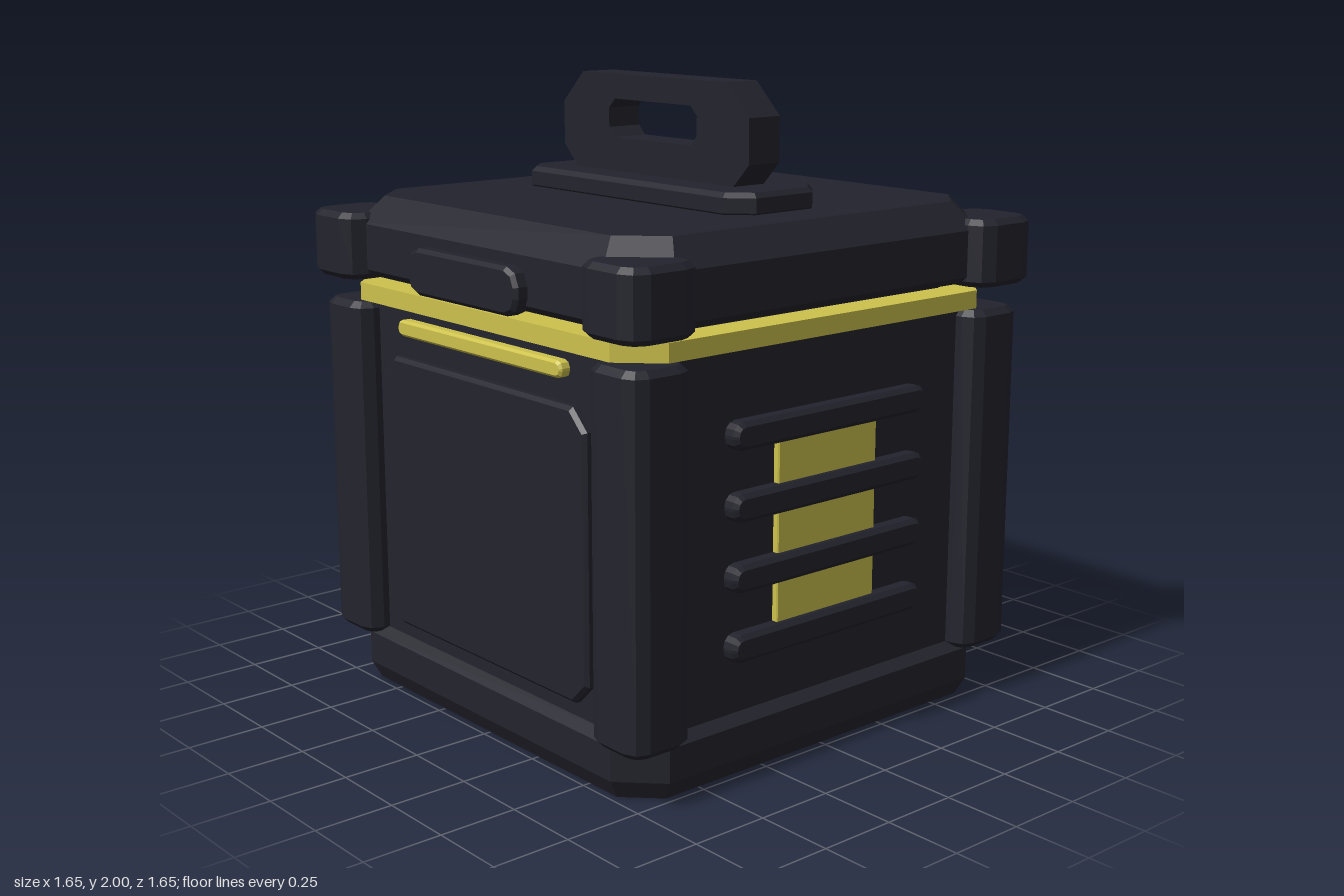
import * as THREE from 'three';

const dark = new THREE.MeshStandardMaterial({ color: 0x23232d });
dark.name = 'charcoal';
const yellow = new THREE.MeshStandardMaterial({ color: 0xcdc14c });
yellow.name = 'glow yellow';

// Outline of a rectangle with cut (steps = 1) or rounded corners
function outline(w, h, r, steps) {
  const pts = [];
  for (let k = 0; k < 4; k++) {
    const cx = (k === 0 || k === 3 ? 1 : -1) * (w / 2 - r);
    const cy = (k < 2 ? 1 : -1) * (h / 2 - r);
    for (let i = 0; i <= steps; i++) {
      const a = (k + i / steps) * Math.PI / 2;
      pts.push(new THREE.Vector2(cx + r * Math.cos(a), cy + r * Math.sin(a)));
    }
  }
  return pts;
}

// Bevelled plate standing in xy, from z = 0 to z = depth
function plate(w, h, depth, r, steps, bevel) {
  const g = new THREE.ExtrudeGeometry(new THREE.Shape(outline(w, h, r, steps)), {
    depth: depth - 2 * bevel, bevelEnabled: true, bevelSegments: 1,
    bevelSize: bevel, bevelThickness: bevel, bevelOffset: -bevel,
  });
  return g.translate(0, 0, bevel);
}

// The same plate lying flat, rising from y = 0
const slab = (...args) => plate(...args).rotateX(-Math.PI / 2);

// Square block with cut corners, through rings of [y, half width, corner cut]
function block(rings) {
  const pos = [];
  const loops = rings.map(([y, half, cut]) =>
    outline(2 * half, 2 * half, cut, 1).map((p) => [p.x, y, -p.y]));
  const n = 8;
  for (let j = 0; j < loops.length - 1; j++) {
    for (let i = 0; i < n; i++) {
      const k = (i + 1) % n;
      const [a, b, c, d] = [loops[j][i], loops[j][k], loops[j + 1][k], loops[j + 1][i]];
      pos.push(...a, ...b, ...c, ...a, ...c, ...d);
    }
  }
  const low = loops[0], top = loops[loops.length - 1];
  for (let i = 1; i < n - 1; i++) {
    pos.push(...low[0], ...low[i + 1], ...low[i], ...top[0], ...top[i], ...top[i + 1]);
  }
  const g = new THREE.BufferGeometry();
  g.setAttribute('position', new THREE.Float32BufferAttribute(pos, 3));
  g.computeVertexNormals();
  return g;
}

export function createModel() {
  const model = new THREE.Group();
  model.name = 'storageCrate';
  const add = (name, geometry, material, x = 0, y = 0, z = 0, turn = 0, parent = model) => {
    const mesh = new THREE.Mesh(geometry, material);
    mesh.name = name;
    mesh.position.set(x, y, z);
    mesh.rotation.y = turn;
    parent.add(mesh);
    return mesh;
  };

  // Base, body and glowing seal
  add('base', block([[0, 0.725, 0.1], [0.06, 0.757, 0.12], [0.165, 0.757, 0.12], [0.19, 0.722, 0.1]]), dark);
  add('body', block([[0.17, 0.72, 0.1], [1.29, 0.72, 0.1]]), dark);
  add('seal', block([[1.288, 0.75, 0.115], [1.345, 0.75, 0.115]]), yellow);
  add('bodyTop', block([[1.34, 0.64, 0.06], [1.353, 0.64, 0.06]]), dark);

  // Lid floating just above the seal
  add('lid', block([
    [1.372, 0.735, 0.12], [1.395, 0.762, 0.14], [1.54, 0.762, 0.14], [1.625, 0.69, 0.12],
  ]), dark);

  // Corner posts and lid corner guards
  const post = slab(0.222, 1.115, 0.222, 0.05, 2, 0.015);
  const postGeometry = slab(0.222, 0.222, 1.115, 0.055, 2, 0.02);
  post.dispose();
  const guardGeometry = slab(0.255, 0.255, 0.212, 0.065, 2, 0.018);
  for (const sx of [-1, 1]) {
    for (const sz of [-1, 1]) {
      add('cornerPost', postGeometry, dark, sx * 0.686, 0.172, sz * 0.686);
      add('lidCornerGuard', guardGeometry, dark, sx * 0.6975, 1.362, sz * 0.6975);
    }
  }

  // Front panel, light bar and latch
  add('frontPanel', plate(1.04, 0.89, 0.05, 0.065, 1, 0.012), dark, 0, 0.685, 0.7);
  add('frontLightBar', plate(0.84, 0.052, 0.05, 0.022, 2, 0.008), yellow, 0, 1.23, 0.705);
  add('frontLatch', plate(0.56, 0.145, 0.06, 0.055, 2, 0.012), dark, 0, 1.435, 0.745);

  // Back panel and hinge
  add('backPanel', plate(0.68, 0.89, 0.05, 0.065, 1, 0.012), dark, 0, 0.685, -0.7, Math.PI);
  add('backHinge', plate(0.8, 0.165, 0.085, 0.035, 2, 0.012), dark, 0, 1.415, -0.712, Math.PI);

  // Side vents: lit panel behind four bars
  const glowGeometry = plate(0.41, 0.6, 0.04, 0.01, 1, 0.004);
  const barGeometry = plate(0.8, 0.085, 0.07, 0.038, 3, 0.014);
  for (const side of [-1, 1]) {
    const vent = new THREE.Group();
    vent.name = side > 0 ? 'leftVent' : 'rightVent';
    vent.rotation.y = side * Math.PI / 2;
    model.add(vent);
    add('ventGlow', glowGeometry, yellow, 0, 0.72, 0.7, 0, vent);
    for (let i = 0; i < 4; i++) {
      add('ventBar', barGeometry, dark, 0, 0.4 + i * 0.213, 0.698, 0, vent);
    }
  }

  // Handle mount and carrying handle
  add('handleMount', slab(1.075, 0.37, 0.075, 0.07, 1, 0.015), dark, 0, 1.615, 0);
  const grip = new THREE.Shape([
    [-0.37, 1.68], [0.37, 1.68], [0.447, 1.76], [0.447, 1.9],
    [0.345, 2], [-0.345, 2], [-0.447, 1.9], [-0.447, 1.76],
  ].map(([x, y]) => new THREE.Vector2(x, y)));
  grip.holes.push(new THREE.Path(
    outline(0.425, 0.122, 0.03, 1).map((p) => new THREE.Vector2(p.x, p.y + 1.86)).reverse()));
  const handleGeometry = new THREE.ExtrudeGeometry(grip, { depth: 0.125, bevelEnabled: false });
  add('handle', handleGeometry, dark, 0, 0, -0.0625);

  return model;
}
